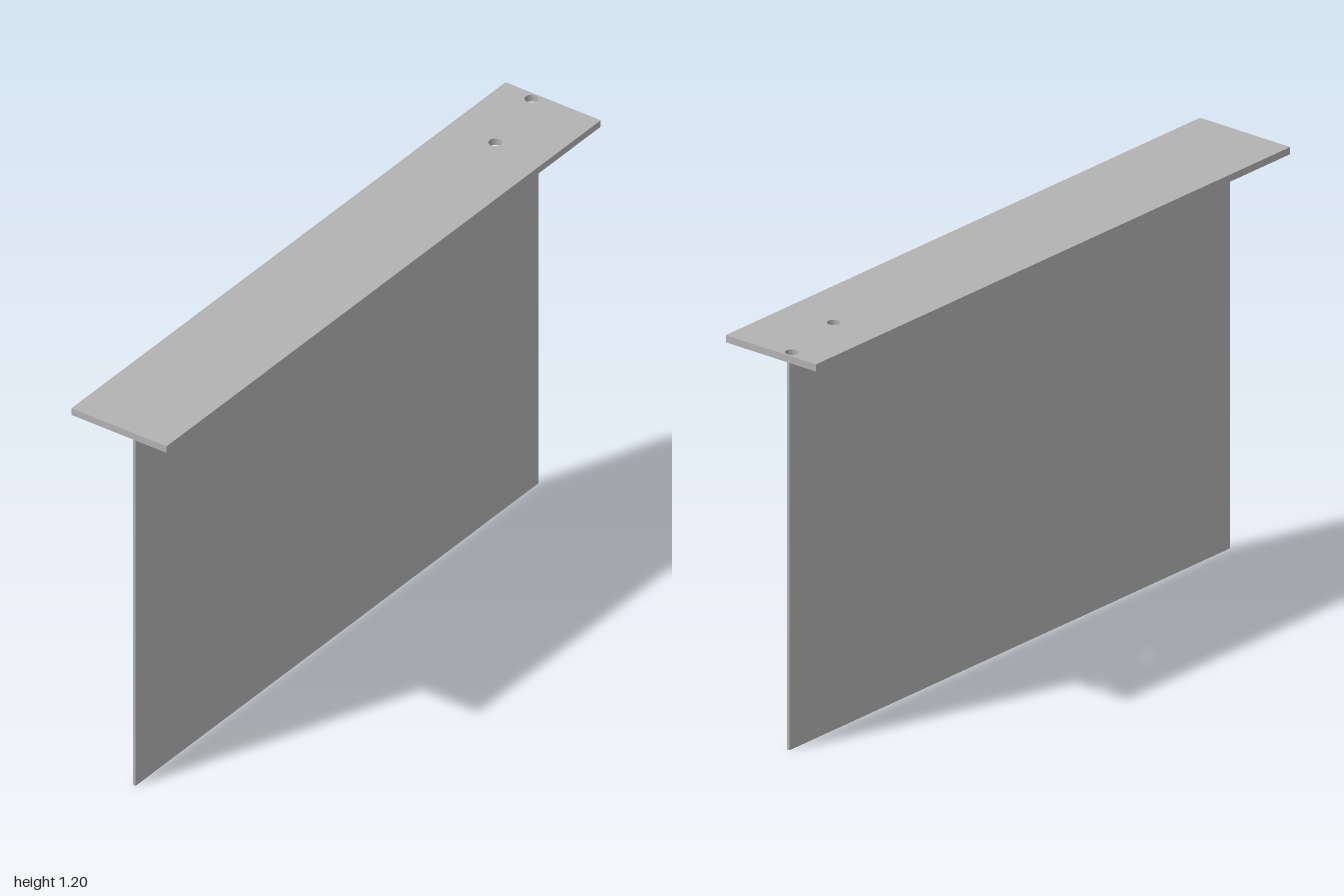
import * as THREE from 'three';

const grey = new THREE.MeshStandardMaterial({ color: 0xb2b2b2 });
grey.name = 'grey';

function add(group, name, geometry) {
  const mesh = new THREE.Mesh(geometry, grey);
  mesh.name = name;
  group.add(mesh);
  return mesh;
}

// Box given by its limits on each axis
function block(group, name, [x0, x1], [y0, y1], [z0, z1]) {
  const mesh = add(group, name, new THREE.BoxGeometry(x1 - x0, y1 - y0, z1 - z0));
  mesh.position.set((x0 + x1) / 2, (y0 + y1) / 2, (z0 + z1) / 2);
}

export function createModel() {
  const group = new THREE.Group();
  group.name = 'hangingPanel';

  // Top plate, drawn in plan (x, -z) with two drilled holes
  const plan = new THREE.Shape();
  plan.moveTo(-0.16, -1).lineTo(0.16, -1).lineTo(0.16, 1).lineTo(-0.16, 1).closePath();
  for (const [x, z] of [[-0.055, -0.976], [-0.007, -0.743]]) {
    const hole = new THREE.Path();
    hole.absarc(x, -z, 0.019, 0, Math.PI * 2, true);
    plan.holes.push(hole);
  }
  const plate = new THREE.ExtrudeGeometry(plan, { depth: 0.021, bevelEnabled: false, curveSegments: 24 });
  plate.rotateX(-Math.PI / 2);
  add(group, 'topPlate', plate).position.y = 1.179;

  // Thin upright sheet and its folded mounting flange
  const length = [-0.928, 0.928];
  block(group, 'panel', [-0.006, 0.004], [0, 1.179], length);
  block(group, 'mountingFlange', [0.004, 0.09], [1.169, 1.179], length);

  return group;
}
